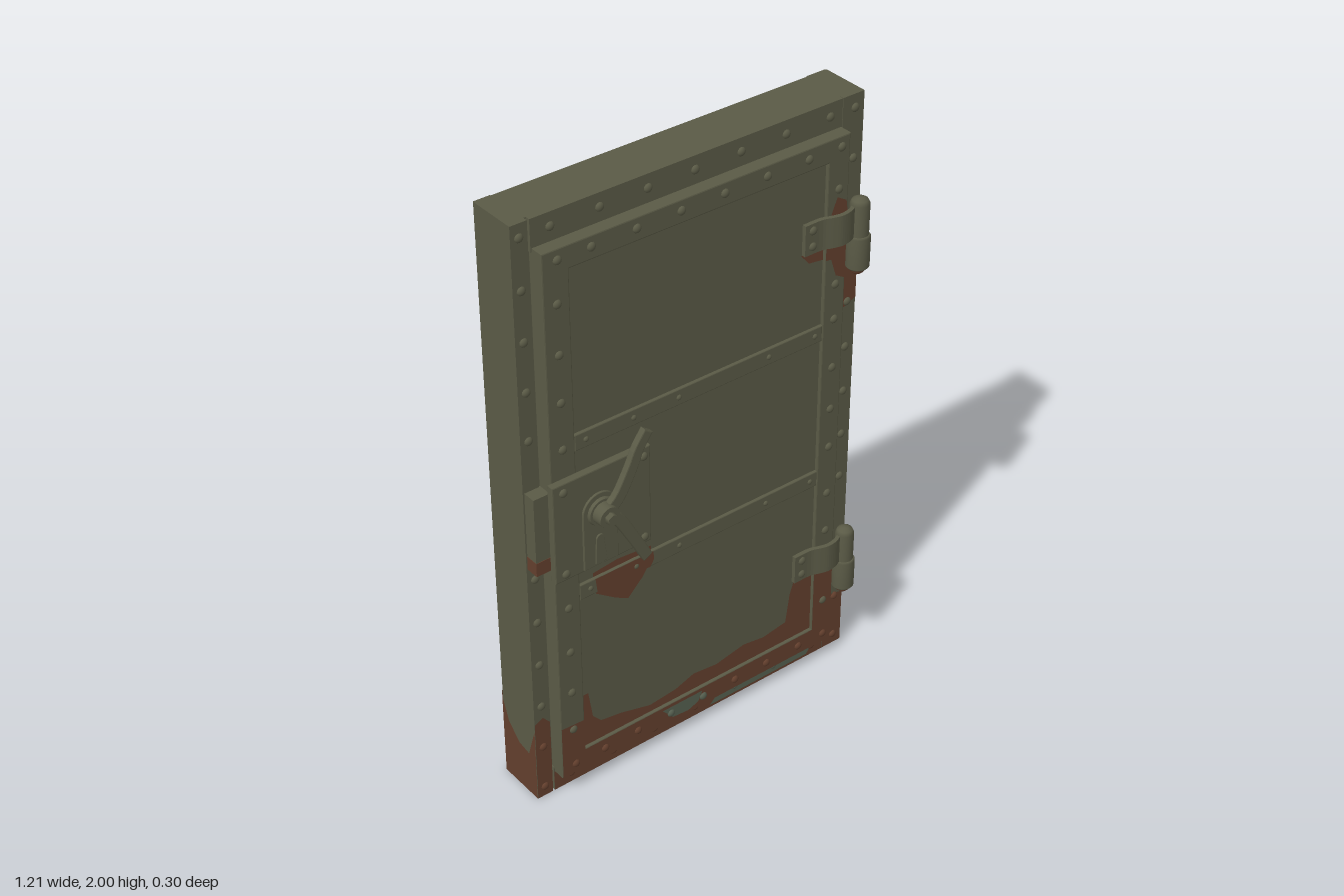
import * as THREE from 'three';

const mat = (name, color) => {
  const m = new THREE.MeshStandardMaterial({ color, side: THREE.DoubleSide });
  m.name = name;
  return m;
};

// Clip a polygon to one side of an axis-aligned line
function clipSide(pts, axis, limit, sign) {
  const out = [];
  pts.forEach((p, i) => {
    const q = pts[(i + 1) % pts.length];
    const a = (p[axis] - limit) * sign, b = (q[axis] - limit) * sign;
    if (a >= 0) out.push(p);
    if ((a > 0 && b < 0) || (a < 0 && b > 0)) {
      const t = a / (a - b);
      out.push([p[0] + (q[0] - p[0]) * t, p[1] + (q[1] - p[1]) * t]);
    }
  });
  return out;
}
const clipRect = (pts, [x0, x1, y0, y1]) =>
  clipSide(clipSide(clipSide(clipSide(pts, 0, x0, 1), 0, x1, -1), 1, y0, 1), 1, y1, -1);

const shapeOf = pts => new THREE.Shape(pts.map(p => new THREE.Vector2(p[0], p[1])));
const rectPts = (x0, x1, y0, y1) => [[x0, y0], [x1, y0], [x1, y1], [x0, y1]];

export function createModel() {
  const root = new THREE.Group();
  root.name = 'steelDoor';
  const steel = mat('oliveSteel', 0x5a5a46);
  const rust = mat('rust', 0x633f2d);
  const patina = mat('greyGreenPatina', 0x566050);

  const add = (name, geo, m = steel, parent = root) => {
    const mesh = new THREE.Mesh(geo, m);
    mesh.name = name;
    parent.add(mesh);
    return mesh;
  };
  const box = (name, x0, x1, y0, y1, z0, z1, m = steel) =>
    add(name, new THREE.BoxGeometry(x1 - x0, y1 - y0, z1 - z0), m)
      .position.set((x0 + x1) / 2, (y0 + y1) / 2, (z0 + z1) / 2);
  // Plate with a small bevel, lying between z0 and z1
  const plate = (name, shape, z0, z1, bevel = 0.004, m = steel) => {
    const geo = new THREE.ExtrudeGeometry(shape, {
      depth: z1 - z0 - 2 * bevel, bevelEnabled: bevel > 0, bevelSize: bevel,
      bevelThickness: bevel, bevelOffset: -bevel, bevelSegments: 2, curveSegments: 12,
    });
    geo.translate(0, 0, z0 + bevel);
    return add(name, geo, m);
  };
  // Round part with its axis along z
  const disc = (name, r0, r1, x, y, z0, z1, sides = 24) => {
    const geo = new THREE.CylinderGeometry(r1, r0, z1 - z0, sides);
    geo.rotateX(Math.PI / 2);
    add(name, geo).position.set(x, y, (z0 + z1) / 2);
  };

  // Frame: two posts, the core between them and the header and sill faces
  const post = (name, x0, x1, r) => {
    const s = new THREE.Shape();
    s.moveTo(x0, -0.015).lineTo(x1, -0.015).lineTo(x1, 0.15 - r);
    s.quadraticCurveTo(x1, 0.15, x1 - r, 0.15).lineTo(x0 + r, 0.15);
    s.quadraticCurveTo(x0, 0.15, x0, 0.15 - r);
    const geo = new THREE.ExtrudeGeometry(s, { depth: 2, bevelEnabled: false });
    geo.rotateX(-Math.PI / 2);
    add(name, geo);
  };
  post('rightPost', -0.605, -0.55, 0.003);
  post('leftPost', 0.527, 0.605, 0.01);
  box('frameCore', -0.552, 0.53, 0, 2, -0.147, 0);
  box('header', -0.543, 0.525, 1.9, 2, -0.01, 0.015);
  box('sill', -0.543, 0.525, 0, 0.09, -0.01, 0.015);

  // Door leaf: recessed panel, bevelled rim and cross bars
  box('doorPanel', -0.52, 0.5, 0.1, 1.88, 0, 0.046);
  const rim = shapeOf(rectPts(-0.54, 0.522, 0.075, 1.912));
  rim.holes.push(new THREE.Path(rectPts(-0.453, 0.443, 0.148, 1.838).map(p => new THREE.Vector2(...p))));
  plate('doorRim', rim, 0, 0.057, 0.004);
  const bars = [0.748, 1.276];
  bars.forEach(y => plate('crossBar', shapeOf(rectPts(-0.453, 0.443, y - 0.027, y + 0.027)), 0.04, 0.056, 0.003));

  // Rivets
  const rivetGeo = new THREE.SphereGeometry(1, 12, 5, 0, Math.PI * 2, 0, Math.PI / 2);
  rivetGeo.rotateX(Math.PI / 2);
  const rivet = (x, y, z, r = 0.014, m = y < 0.22 ? rust : steel) => {
    const mesh = add('rivet', rivetGeo, m);
    mesh.position.set(x, y, z);
    mesh.scale.set(r, r, r * 0.65);
  };
  for (let i = 0; i < 7; i++) {
    rivet(-0.48 + i * 0.16, 1.957, 0.015);
    rivet(-0.48 + i * 0.16, 0.037, 0.015, 0.014, i > 3 && i < 6 ? patina : rust);
  }
  for (let i = 0; i < 13; i++) {
    const y = 0.037 + i * 0.16;
    if (y < 0.86 || y > 1.16) rivet(-0.578, y, 0.015);
    if (![2, 3, 9, 10].includes(i)) rivet(0.572, y, 0.015);
  }
  [-0.49, -0.38, -0.23, -0.08, 0.07, 0.22, 0.37, 0.49].forEach(x => rivet(x, 1.878, 0.057));
  [-0.49, -0.38, -0.255, -0.127, 0, 0.127, 0.255, 0.387, 0.49].forEach(x =>
    rivet(x, 0.11, 0.057, 0.014, Math.abs(x + 0.06) < 0.08 ? patina : rust));
  [0.25, 0.395, 0.55, 0.715, 1.275, 1.43, 1.585, 1.745].forEach(y => rivet(-0.495, y, 0.057));
  [0.25, 0.53, 0.675, 0.85, 0.99, 1.14, 1.31, 1.43, 1.745].forEach(y => rivet(0.485, y, 0.057));
  bars.forEach(y => [-0.415, -0.25, -0.09, 0.24, 0.415].forEach(x => rivet(x, y, 0.056, 0.009)));

  // Hinges: strap swept from the door to a two-part barrel with a pin
  const bx = 0.564, bz = 0.062;
  const centre = new THREE.CatmullRomCurve3([[0.355, 0.062], [0.42, 0.063], [0.45, 0.073], [0.48, 0.08],
    [0.515, 0.075], [0.545, 0.06]].map(([x, z]) => new THREE.Vector3(x, z, 0))).getPoints(20);
  const strap = shapeOf([...centre.map(p => [p.x, -p.y - 0.007]),
    ...centre.slice().reverse().map(p => [p.x, -p.y + 0.007])]);
  for (const y of [1.574, 0.388]) {
    const g = new THREE.Group();
    g.name = 'hinge';
    g.position.y = y;
    root.add(g);
    const strapGeo = new THREE.ExtrudeGeometry(strap, { depth: 0.1, bevelEnabled: false });
    strapGeo.rotateX(-Math.PI / 2);
    add('hingeStrap', strapGeo, steel, g);
    const turn = (name, pts, m) => add(name,
      new THREE.LatheGeometry(pts.map(p => new THREE.Vector2(...p)), 24), m, g).position.set(bx, 0, bz);
    turn('upperKnuckle', [[0.03, 0], [0.03, 0.1], [0.024, 0.113], [0.012, 0.119], [0, 0.12]], steel);
    turn('lowerKnuckle', [[0, -0.112], [0.03, -0.112], [0.036, -0.105], [0.036, -0.006], [0.031, 0], [0, 0]], steel);
    turn('hingePin', [[0, -0.13], [0.014, -0.13], [0.022, -0.122], [0.022, -0.11]], rust);
    [0.025, 0.077].forEach(dy => rivet(0.383, y + dy, 0.068, 0.014, steel));
  }

  // Lock: striker on the post, plate, keyhole cover and hub
  box('striker', -0.6, -0.545, 0.885, 1.15, 0.012, 0.058);
  plate('lockPlate', shapeOf(rectPts(-0.552, -0.212, 0.842, 1.18)), 0.055, 0.08, 0.004);
  for (const x of [-0.515, -0.236]) for (const y of [0.865, 1.15]) rivet(x, y, 0.08, 0.014);
  const cover = new THREE.Shape();
  cover.moveTo(-0.455, 0.85).lineTo(-0.335, 0.85).lineTo(-0.335, 1.04);
  cover.absarc(-0.395, 1.04, 0.06, 0, Math.PI, false);
  plate('keyholeCover', cover, 0.078, 0.087, 0.002);
  const flap = new THREE.Shape();
  flap.moveTo(-0.418, 0.86).lineTo(-0.378, 0.86).lineTo(-0.388, 0.94);
  flap.absarc(-0.4, 0.945, 0.014, 0, Math.PI, false);
  plate('keyholeFlap', flap, 0.086, 0.092, 0.001);
  const hx = -0.393, hy = 1.037;
  disc('hubFlange', 0.05, 0.044, hx, hy, 0.08, 0.096);
  disc('hub', 0.036, 0.034, hx, hy, 0.094, 0.13);
  disc('hubNut', 0.02, 0.018, hx, hy, 0.128, 0.146, 6);

  // Lever handle: flat bars following two curved arms
  const arm = path => {
    const pts = new THREE.SplineCurve(path.map(p => new THREE.Vector2(...p))).getPoints(14);
    const left = [], right = [];
    pts.forEach((p, i) => {
      const d = pts[Math.min(i + 1, 14)].clone().sub(pts[Math.max(i - 1, 0)]).normalize();
      const w = 0.021 - 0.004 * i / 14;
      left.push([p.x - d.y * w, p.y + d.x * w]);
      right.unshift([p.x + d.y * w, p.y - d.x * w]);
    });
    plate('leverArm', shapeOf([...left, ...right]), 0.095, 0.117, 0.004);
  };
  arm([[hx, hy], [-0.345, 1.08], [-0.3, 1.16], [-0.278, 1.21], [-0.243, 1.262]]);
  arm([[hx, hy], [-0.35, 1.0], [-0.3, 0.915], [-0.25, 0.82]]);

  // Rust and patina: outlines clipped to each face they fall on
  const faces = [
    [-0.605, -0.55, 0, 2, 0.0162], [0.527, 0.605, 0, 2, 0.0162], [-0.543, 0.525, 0, 0.075, 0.0162],
    [-0.538, -0.455, 0.077, 1.91, 0.0582], [0.445, 0.52, 0.077, 1.91, 0.0582],
    [-0.455, 0.445, 0.077, 0.146, 0.0582], [-0.453, 0.443, 0.149, 0.72, 0.0472],
    [-0.453, 0.443, 0.722, 0.774, 0.0572], [-0.453, 0.443, 0.776, 1.248, 0.0472],
    [-0.453, 0.443, 1.304, 1.837, 0.0472],
  ];
  const stain = (name, pts, m, lift = 0) => faces.forEach(f => {
    const c = clipRect(pts, f);
    if (c.length > 2) add(name, new THREE.ShapeGeometry(shapeOf(c)), m).position.z = f[4] + lift;
  });
  stain('bottomRust', [[-0.605, 0], [0.605, 0], [0.605, 0.2], [0.565, 0.21], [0.527, 0.2], [0.52, 0.38],
    [0.37, 0.375], [0.355, 0.33], [0.34, 0.225], [0.25, 0.21], [0.17, 0.222], [0.06, 0.2], [-0.03, 0.21],
    [-0.1, 0.185], [-0.2, 0.175], [-0.31, 0.205], [-0.385, 0.217], [-0.415, 0.25], [-0.43, 0.35],
    [-0.453, 0.35], [-0.456, 0.265], [-0.54, 0.27], [-0.575, 0.31], [-0.605, 0.295]], rust);
  stain('lockRust', [[-0.4, 0.79], [-0.31, 0.8], [-0.19, 0.79], [-0.185, 0.745], [-0.22, 0.69], [-0.275, 0.635],
    [-0.32, 0.66], [-0.39, 0.71]], rust);
  stain('hingeRust', [[0.48, 1.72], [0.515, 1.7], [0.53, 1.6], [0.605, 1.55], [0.605, 1.32], [0.56, 1.3],
    [0.53, 1.33], [0.52, 1.44], [0.485, 1.46], [0.465, 1.52], [0.39, 1.53], [0.36, 1.565], [0.44, 1.58],
    [0.46, 1.67]], rust);
  stain('rimPatina', [[-0.16, 0.135], [-0.005, 0.135], [-0.02, 0.1], [-0.06, 0.085], [-0.12, 0.09]], patina, 0.001);
  stain('sillPatina', [[0.06, 0.01], [0.1, 0.05], [0.17, 0.07], [0.43, 0.07], [0.485, 0.045], [0.46, 0.01]], patina, 0.001);
  box('strikerRust', -0.601, -0.552, 0.884, 0.93, 0.013, 0.0595, rust);

  // Rust along the back and both sides
  const skirt = (name, tops, x, z, turnY) => {
    const pts = [[tops[0][0], 0], ...tops, [tops[tops.length - 1][0], 0]];
    const mesh = add(name, new THREE.ShapeGeometry(shapeOf(pts)), rust);
    mesh.position.set(x, 0, z);
    mesh.rotation.y = turnY;
  };
  skirt('backRust', [[-0.605, 0.31], [-0.54, 0.25], [-0.47, 0.2], [-0.42, 0.165], [-0.3, 0.15], [-0.2, 0.125],
    [-0.1, 0.135], [0, 0.115], [0.1, 0.13], [0.2, 0.105], [0.3, 0.12], [0.42, 0.12], [0.46, 0.16],
    [0.49, 0.25], [0.55, 0.28], [0.605, 0.32]], 0, -0.1515, Math.PI);
  skirt('leftSideRust', [[-0.015, 0.29], [0.03, 0.265], [0.06, 0.2], [0.1, 0.18], [0.15, 0.2]], 0.6062, 0, Math.PI / 2);
  skirt('rightSideRust', [[-0.15, 0.3], [-0.12, 0.22], [-0.07, 0.17], [-0.02, 0.16], [0.015, 0.27]], -0.6062, 0, -Math.PI / 2);
  return root;
}
